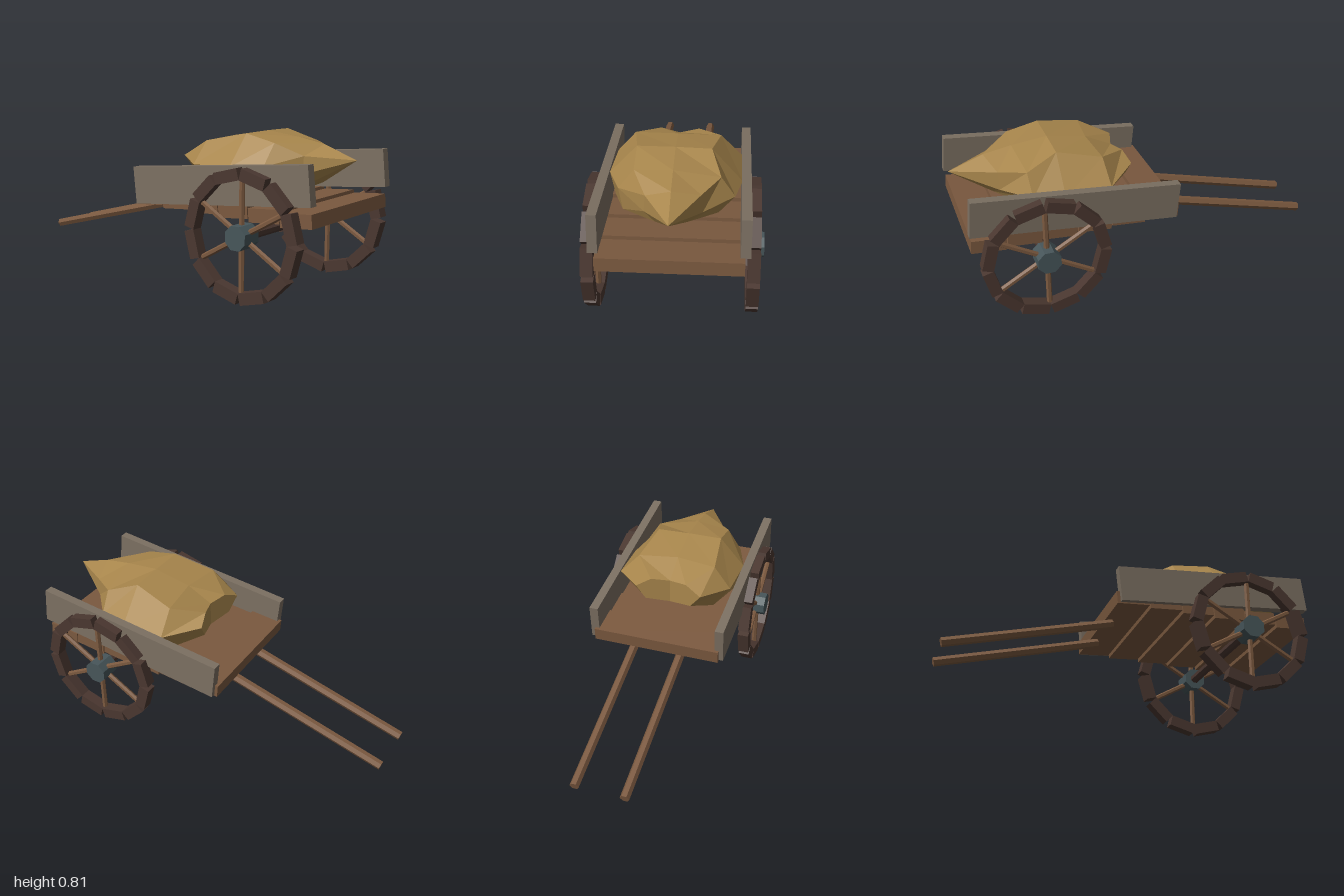
import * as THREE from 'three';

const mat = (name, color) => {
  const m = new THREE.MeshStandardMaterial({ color, flatShading: true });
  m.name = name;
  return m;
};

export function createModel() {
  const wood = mat('brown wood', 0x7b593f);
  const darkWood = mat('dark wood', 0x4a3730);
  const greyWood = mat('weathered wood', 0x7c7062);
  const iron = mat('blue grey iron', 0x47565a);
  const cloth = mat('straw cloth', 0xa8864c);

  const cart = new THREE.Group();
  cart.name = 'handCart';
  const add = (parent, name, geometry, material, x = 0, y = 0, z = 0) => {
    const mesh = new THREE.Mesh(geometry, material);
    mesh.name = name;
    mesh.position.set(x, y, z);
    parent.add(mesh);
    return mesh;
  };
  const rod = (r, length, sides, start = 0) =>
    new THREE.CylinderGeometry(r, r, length, sides, 1, false, start);
  const deg = THREE.MathUtils.degToRad;

  // Floor planks, each tipped slightly so they step like shingles
  for (let i = 0; i < 6; i++) {
    const plank = add(cart, 'floorPlank', new THREE.BoxGeometry(0.706, 0.07, 0.179), wood,
      0, 0.447, 0.88 - i * 0.185);
    plank.rotation.x = deg(-5);
  }

  // Axle
  const axle = add(cart, 'axle', rod(0.027, 0.74, 8, Math.PI / 8), darkWood, 0, 0.34, 0.6);
  axle.rotation.z = Math.PI / 2;

  for (const side of [-1, 1]) {
    // Sloping side board
    const board = add(cart, 'sideBoard', new THREE.BoxGeometry(0.048, 0.197, 1.098), greyWood,
      side * 0.354, 0.568, 0.421);
    board.rotation.x = deg(-6);

    // Pull handle
    const handle = add(cart, 'handle', rod(0.025, 0.938, 6, Math.PI / 2), wood,
      side * 0.133, 0.268, -0.541);
    handle.rotation.x = deg(75);

    // Wheel: twelve straight rim blocks, six spokes and a hub
    const wheel = new THREE.Group();
    wheel.name = 'wheel';
    wheel.position.set(side * 0.396, 0.34, 0.6);
    cart.add(wheel);
    for (let i = 0; i < 12; i++) {
      const a = deg(15 + i * 30);
      const block = add(wheel, 'rimBlock', new THREE.BoxGeometry(0.061, 0.06, 0.146), darkWood,
        0, 0.301 * Math.cos(a), 0.301 * Math.sin(a));
      block.rotation.x = a;
    }
    for (let i = 0; i < 6; i++) {
      const a = deg(i * 60);
      const spoke = add(wheel, 'spoke', rod(0.015, 0.25, 6), wood,
        0, 0.155 * Math.cos(a), 0.155 * Math.sin(a));
      spoke.rotation.x = a;
    }
    const hub = add(wheel, 'hub', rod(0.065, 0.112, 8, Math.PI / 8), iron);
    hub.rotation.z = Math.PI / 2;
  }

  // Lumpy sack: rings of x, y pairs from front to back, closed by two tips;
  // lean pulls the sides of a ring backward
  const rings = [
    { z: 0.81, lean: 0.3, p: [0.147, 0.632, 0.14, 0.73, 0, 0.77, -0.126, 0.72,
      -0.133, 0.63, -0.08, 0.585, 0, 0.58, 0.08, 0.59] },
    { z: 0.66, lean: 0.1, p: [0.3, 0.64, 0.23, 0.75, 0, 0.795, -0.19, 0.78,
      -0.27, 0.67, -0.25, 0.55, 0, 0.512, 0.22, 0.55] },
    { z: 0.47, lean: 0, p: [0.335, 0.63, 0.18, 0.81, 0, 0.815, -0.19, 0.815,
      -0.33, 0.66, -0.305, 0.53, 0, 0.495, 0.22, 0.495] },
    { z: 0.26, lean: 0.1, p: [0.33, 0.64, 0.22, 0.76, 0, 0.775, -0.22, 0.765,
      -0.315, 0.65, -0.22, 0.515, 0, 0.5, 0.2, 0.497] },
    { z: 0.12, lean: 0.3, p: [0.18, 0.67, 0.1, 0.715, 0, 0.705, -0.1, 0.715,
      -0.19, 0.67, -0.13, 0.59, 0, 0.57, 0.13, 0.59] },
  ];
  const pos = [];
  for (const { z, lean, p } of rings) {
    for (let j = 0; j < 16; j += 2) pos.push(p[j], p[j + 1], z - lean * Math.abs(p[j]));
  }
  const front = pos.length / 3, back = front + 1;
  pos.push(0, 0.705, 0.995, 0, 0.67, 0.12);
  const index = [];
  const last = (rings.length - 1) * 8;
  for (let j = 0; j < 8; j++) {
    const k = (j + 1) % 8;
    index.push(front, j, k, back, last + k, last + j);
    for (let r = 0; r < last; r += 8) {
      index.push(r + j, r + 8 + j, r + 8 + k, r + j, r + 8 + k, r + k);
    }
  }
  const sack = new THREE.BufferGeometry();
  sack.setAttribute('position', new THREE.Float32BufferAttribute(pos, 3));
  sack.setIndex(index);
  sack.computeVertexNormals();
  add(cart, 'sack', sack, cloth);

  return cart;
}
